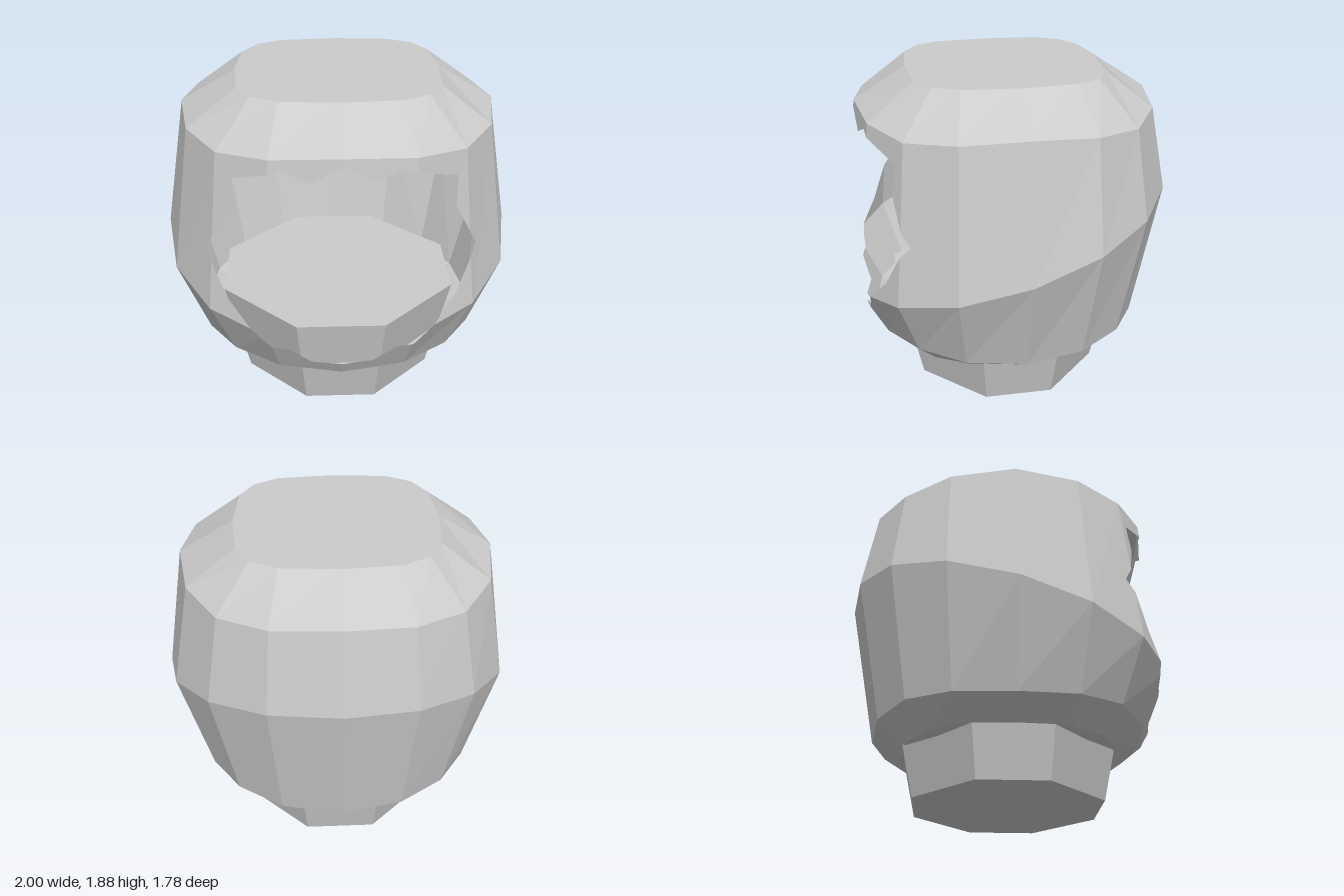
import * as THREE from 'three';

const SIDES = 16;
const material = new THREE.MeshStandardMaterial({ color: 0xcccccc, flatShading: true, side: THREE.DoubleSide });

// Shell rings from bottom to top: height, wave at the diagonals, tilt,
// half width, half depth, z centre, squareness (1 = round)
const rings = [
  { y: 0.29, wave: -0.015, tilt: 0, rx: 0.64, rz: 0.61, cz: 0.05, p: 0.75 },
  { y: 0.38, wave: 0.03, tilt: 0, rx: 0.82, rz: 0.785, cz: 0.045, p: 0.9 },
  { y: 0.95, wave: 0, tilt: -0.29, rx: 1.0, rz: 0.945, cz: 0.05, p: 0.95 },
  { y: 1.7, wave: -0.05, tilt: 0, rx: 0.875, rz: 0.84, cz: 0.04, p: 0.89 },
  { y: 1.88, wave: 0, tilt: 0, rx: 0.57, rz: 0.55, cz: 0.04, p: 0.6 },
];

// Right half of the jagged opening, from bottom to top
const halfHole = [
  [0.17, 0.47], [0.29, 0.585], [0.39, 0.59], [0.61, 0.85], [0.725, 1.1],
  [0.595, 1.36], [0.6, 1.52], [0.3, 1.625], [0.16, 1.565], [0, 1.66],
];
const mirrored = halfHole.slice(0, -1).reverse().map(([x, y]) => [-x, y]);
const hole = [...halfHole, ...mirrored].map(([x, y]) => new THREE.Vector2(x, y));
const holeCentre = new THREE.Vector2(0, 1.05);

const softPower = (v, p) => Math.sign(v) * Math.pow(Math.abs(v), p);

function ringPoint(r, k) {
  const a = ((k % SIDES) / SIDES) * Math.PI * 2;
  const round = (v) => (Math.abs(v) < 1e-9 ? 0 : softPower(v, r.p));
  const dz = r.rz * round(Math.cos(a));
  const y = r.y + r.wave * Math.sin(2 * a) ** 2 + r.tilt * dz;
  return new THREE.Vector3(r.rx * round(Math.sin(a)), y, r.cz + dz);
}

// Keep the part of a convex polygon lying left of the line from a to b (seen from the front)
function clip(poly, a, b) {
  const side = (p) => (b.x - a.x) * (p.y - a.y) - (b.y - a.y) * (p.x - a.x);
  const out = [];
  poly.forEach((p, i) => {
    const q = poly[(i + 1) % poly.length];
    const sp = side(p), sq = side(q);
    if (sp >= 0) out.push(p);
    if ((sp > 0 && sq < 0) || (sp < 0 && sq > 0)) out.push(p.clone().lerp(q, sp / (sp - sq)));
  });
  return out;
}

// Cut the opening from a facet: keep what lies beyond each edge of the hole
function outsideHole(facet) {
  return hole.map((a, i) => {
    const b = hole[(i + 1) % hole.length];
    let poly = clip(facet, holeCentre, a);
    poly = clip(poly, b, holeCentre);
    return clip(poly, b, a);
  }).filter((poly) => poly.length > 2);
}

function buildShell() {
  const positions = [];
  const addPolygon = (poly) => {
    for (let i = 1; i < poly.length - 1; i++) {
      for (const p of [poly[0], poly[i], poly[i + 1]]) positions.push(p.x, p.y, p.z);
    }
  };
  for (let k = 0; k < SIDES; k++) {
    for (let j = 0; j < rings.length - 1; j++) {
      const a = ringPoint(rings[j], k), b = ringPoint(rings[j], k + 1);
      const c = ringPoint(rings[j + 1], k + 1), d = ringPoint(rings[j + 1], k);
      const isFront = k < SIDES / 4 || k >= (SIDES * 3) / 4;
      for (const facet of [[a, b, c], [a, c, d]]) {
        if (isFront && (j === 1 || j === 2)) outsideHole(facet).forEach(addPolygon);
        else addPolygon(facet);
      }
    }
    // Flat crown and underside
    const top = rings[rings.length - 1], low = rings[0];
    addPolygon([new THREE.Vector3(0, top.y, top.cz), ringPoint(top, k), ringPoint(top, k + 1)]);
    addPolygon([new THREE.Vector3(0, 0.28, low.cz), ringPoint(low, k + 1), ringPoint(low, k)]);
  }
  const geometry = new THREE.BufferGeometry();
  geometry.setAttribute('position', new THREE.Float32BufferAttribute(positions, 3));
  geometry.computeVertexNormals();
  return geometry;
}

// Eight-sided tapered neck reaching up inside the shell
function buildNeck() {
  const geometry = new THREE.CylinderGeometry(0.73, 0.59, 0.59, 8);
  geometry.rotateY(Math.PI / 8);
  const pos = geometry.attributes.position;
  for (let i = 0; i < pos.count; i++) {
    const x = pos.getX(i), z = pos.getZ(i);
    // Slightly narrower front, back and side faces
    if (Math.abs(x) < Math.abs(z)) pos.setX(i, x * 0.89);
    else pos.setZ(i, z * 0.89);
  }
  geometry.scale(1.01, 1, 0.97);
  geometry.translate(0, 0.295, 0.04);
  geometry.computeVertexNormals();
  return geometry;
}

export function createModel() {
  const model = new THREE.Group();
  const addPart = (name, geometry) => {
    const mesh = new THREE.Mesh(geometry, material);
    mesh.name = name;
    model.add(mesh);
  };
  addPart('hollowShell', buildShell());
  addPart('neck', buildNeck());
  return model;
}
